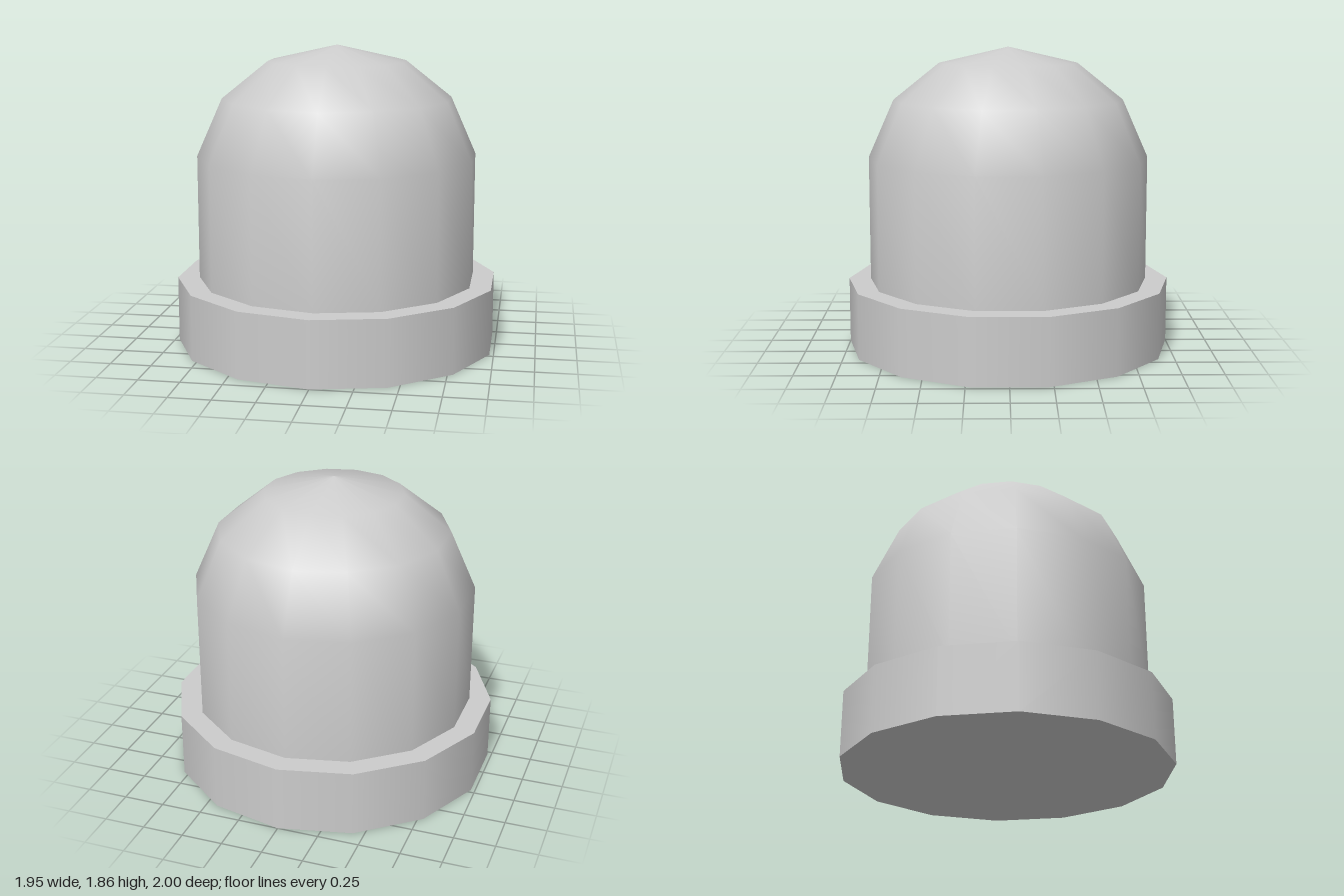
import * as THREE from 'three';

const SIDES = 14;

export function createModel() {
  const group = new THREE.Group();
  const material = new THREE.MeshStandardMaterial({ color: 0xcccccc });

  // Wide collar at the bottom, smooth around with sharp rims
  const base = new THREE.Mesh(new THREE.CylinderGeometry(1, 1, 0.405, SIDES), material);
  base.name = 'base';
  base.position.y = 0.2025;
  group.add(base);

  // Straight wall running smoothly into a rounded top
  const profile = [
    [0.865, 0.405], [0.865, 1.175], [0.708, 1.53], [0.425, 1.757], [0, 1.855],
  ].map(([r, y]) => new THREE.Vector2(r, y));
  const dome = new THREE.Mesh(new THREE.LatheGeometry(profile, SIDES), material);
  dome.name = 'dome';
  group.add(dome);

  return group;
}
